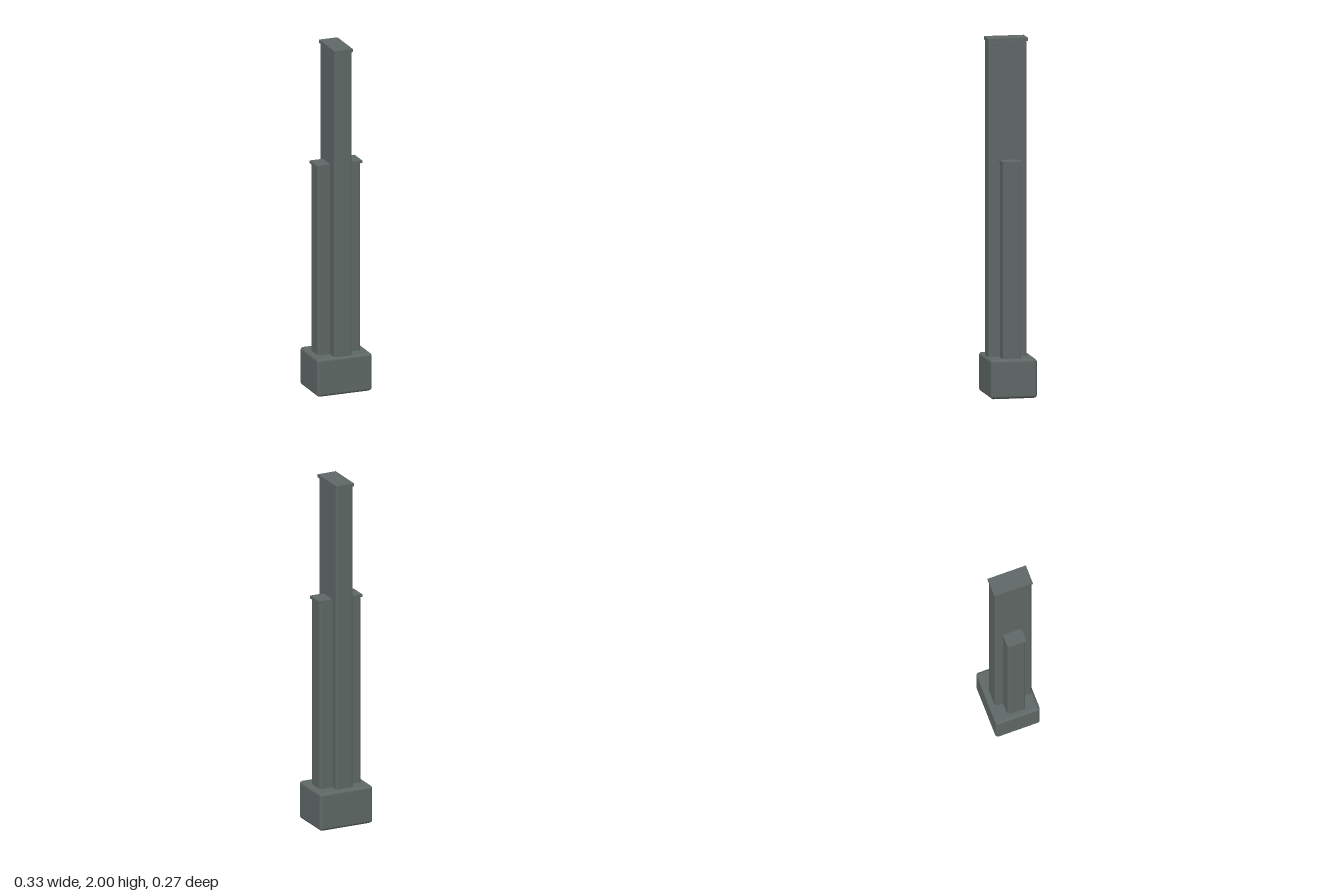
import * as THREE from 'three';
import { RoundedBoxGeometry } from 'three/addons/geometries/RoundedBoxGeometry.js';

export function createModel() {
  const model = new THREE.Group();
  const stone = new THREE.MeshStandardMaterial({ color: 0x5f6866 });
  stone.name = 'darkGreyStone';

  // Everything shares the same slight turn about the vertical axis
  const turned = new THREE.Group();
  turned.name = 'monument';
  turned.rotation.y = -0.022;
  model.add(turned);

  function add(name, geometry, x, y, z) {
    const mesh = new THREE.Mesh(geometry, stone);
    mesh.name = name;
    mesh.position.set(x, y, z);
    turned.add(mesh);
  }

  // Upright prism with rounded vertical edges, standing on y = 0
  function roundedPrism(w, h, d, r) {
    const a = w / 2, b = d / 2;
    const s = new THREE.Shape();
    s.moveTo(-a + r, -b);
    s.lineTo(a - r, -b);
    s.quadraticCurveTo(a, -b, a, -b + r);
    s.lineTo(a, b - r);
    s.quadraticCurveTo(a, b, a - r, b);
    s.lineTo(-a + r, b);
    s.quadraticCurveTo(-a, b, -a, b - r);
    s.lineTo(-a, -b + r);
    s.quadraticCurveTo(-a, -b, -a + r, -b);
    const g = new THREE.ExtrudeGeometry(s, { depth: h, bevelEnabled: false, curveSegments: 6 });
    return g.rotateX(-Math.PI / 2);
  }

  // Base block
  add('base', new RoundedBoxGeometry(0.326, 0.218, 0.262, 4, 0.016), 0, 0.111, -0.002);
  add('baseFoot', new THREE.BoxGeometry(0.29, 0.01, 0.23), 0, 0.005, -0.002);

  // Tall central slab, deeper than wide, with a thin overhanging cap
  add('tallSlab', roundedPrism(0.106, 1.77, 0.218, 0.016), -0.005, 0.21, 0.009);
  add('tallCap', new THREE.BoxGeometry(0.111, 0.018, 0.226), -0.005, 1.991, 0.009);

  // Lower cross slab, showing as a wing on each side
  add('crossSlab', roundedPrism(0.256, 1.1, 0.106, 0.014), -0.003, 0.21, 0.001);
  add('crossCap', new THREE.BoxGeometry(0.27, 0.015, 0.11), -0.002, 1.3145, 0.001);

  return model;
}
